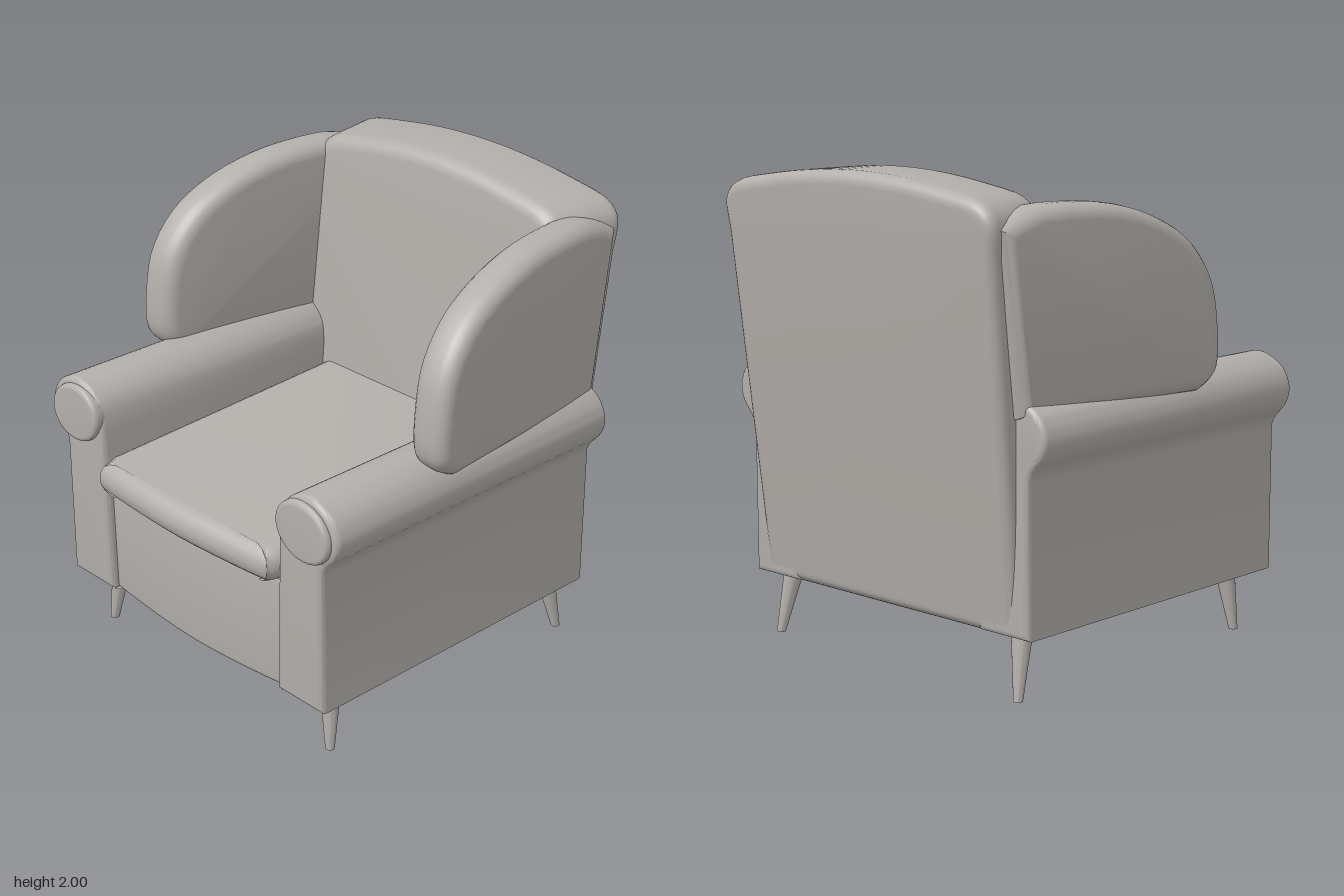
import * as THREE from 'three';
import { mergeVertices, toCreasedNormals } from 'three/addons/utils/BufferGeometryUtils.js';

const V = (x, y) => new THREE.Vector2(x, y);
const spline = (pts, n) => new THREE.SplineCurve(pts.map(p => V(...p))).getPoints(n);

// Padded slab: an outline extruded with rounded edges that stay inside the outline
function padded(points, depth, bevel, bevelDepth = bevel) {
  const g = new THREE.ExtrudeGeometry(new THREE.Shape(points), {
    depth: depth - 2 * bevelDepth, bevelEnabled: true, bevelSize: bevel,
    bevelThickness: bevelDepth, bevelOffset: -bevel, bevelSegments: 5, steps: 1,
  });
  return g.translate(0, 0, bevelDepth);
}

// Move every vertex by a rule
function warp(g, rule) {
  const p = g.attributes.position, v = new THREE.Vector3();
  for (let i = 0; i < p.count; i++) {
    rule(v.fromBufferAttribute(p, i));
    p.setXYZ(i, v.x, v.y, v.z);
  }
  return g;
}

function smooth(g, angle = 0.65) {
  g.deleteAttribute('uv');
  g.deleteAttribute('normal');
  return toCreasedNormals(mergeVertices(g, 1e-4), angle);
}

export function createModel() {
  const model = new THREE.Group();
  model.name = 'armchair';
  const fabric = new THREE.MeshStandardMaterial({ color: 0xb3afab });
  fabric.name = 'warm grey';
  const add = (name, geometry) => {
    const mesh = new THREE.Mesh(geometry, fabric);
    mesh.name = name;
    model.add(mesh);
    return mesh;
  };

  // Plan outline with a bowed front, extruded upwards (outline y is -z)
  const planSlab = (w, back, side, front, corner, height, bevel) => {
    const edge = spline([[-w, -side + corner], [-w + corner * 0.3, -side + corner * 0.2],
      [-w + corner, -side - 0.01], [0, -front], [w - corner, -side - 0.01],
      [w - corner * 0.3, -side + corner * 0.2], [w, -side + corner]], 30);
    return padded([V(-w, -back), ...edge, V(w, -back)], height, bevel).rotateX(-Math.PI / 2);
  };

  // Seat base with a gently sagging lower edge
  const base = planSlab(0.53, -0.6, 0.775, 0.81, 0.03, 0.5, 0.025);
  add('seatBase', smooth(warp(base, v => {
    v.y += 0.25 - 0.015 * (1 - (v.x / 0.53) ** 2) * (v.y < 0.1 ? 1 : 0);
  })));

  // Seat cushion, rising towards the back
  const cushion = planSlab(0.545, -0.5, 0.86, 0.895, 0.09, 0.15, 0.07);
  add('seatCushion', smooth(warp(cushion, v => {
    v.y += 0.735 + (v.y > 0.075 ? (0.89 - v.z) * 0.042 : 0);
  })));

  // Backrest: arched panel, leaning backwards and narrower at its front
  const arch = spline([[0.75, 1.72], [0.755, 1.85], [0.68, 1.925], [0.5, 1.96], [0.25, 1.99],
    [0, 2], [-0.25, 1.99], [-0.5, 1.96], [-0.68, 1.925], [-0.755, 1.85], [-0.75, 1.72]], 40);
  const back = padded([V(-0.72, 0.25), V(0.72, 0.25), ...arch], 0.355, 0.055);
  add('backrest', smooth(warp(back, v => {
    const t = v.z / 0.355;
    v.x *= 1 - 0.1 * t;
    v.z -= 0.7 + (v.y - 0.26) * 0.109;
  })));

  // Wing outline as seen from the side, [z, y]
  const wingFront = spline([[-0.83, 1.83], [-0.65, 1.895], [-0.4, 1.9], [-0.2, 1.875], [0, 1.81],
    [0.16, 1.71], [0.27, 1.555], [0.308, 1.37], [0.31, 1.22], [0.27, 1.15], [0.2, 1.11]], 36);
  const wingOutline = [...wingFront, V(-0.72, 1.11)].map(p => V(-p.x, p.y));

  // Arm cross-section, from the floor edge up and around the roll
  const armRoll = spline([[0.78, 0.88], [0.8, 0.92], [0.85, 0.98], [0.866, 1.05], [0.835, 1.125],
    [0.77, 1.172], [0.7, 1.188], [0.62, 1.165], [0.562, 1.11], [0.54, 1.03], [0.535, 0.94]], 36);

  for (const s of [1, -1]) {
    const side = s > 0 ? 'left' : 'right';

    // Rolled arm with its side panel
    const profile = [V(0.52, 0.26), V(0.78, 0.26), ...armRoll].map(p => V(p.x * s, p.y));
    add(side + 'Arm', smooth(padded(profile, 1.525, 0.025).translate(0, 0, -0.705)));

    // Round pad on the front of the arm roll
    const disc = new THREE.EllipseCurve(0.69 * s, 1.04, 0.147, 0.125, 0, Math.PI * 2, false, -0.15 * s)
      .getPoints(32).slice(0, -1);
    add(side + 'ArmPad', smooth(padded(disc, 0.065, 0.018).translate(0, 0, 0.78)));

    // Wing, splayed outwards towards the front
    const wing = padded(wingOutline, 0.185, 0.06, 0.07).translate(0, 0, -0.0925).rotateY(Math.PI / 2);
    add(side + 'Wing', smooth(warp(wing, v => {
      v.x += s * (0.705 + (v.z + 0.6) * 0.115);
    })));

    // Tapered splayed legs
    for (const [name, topZ, footZ] of [['Front', 0.657, 0.688], ['Back', -0.6, -0.655]]) {
      const leg = new THREE.CylinderGeometry(0.046, 0.019, 0.29, 20).translate(0, 0.145, 0);
      add(side + name + 'Leg', smooth(warp(leg, v => {
        const t = v.y / 0.27;
        v.x += s * (0.685 - 0.03 * t);
        v.z += footZ + (topZ - footZ) * t;
      })));
    }
  }
  return model;
}
